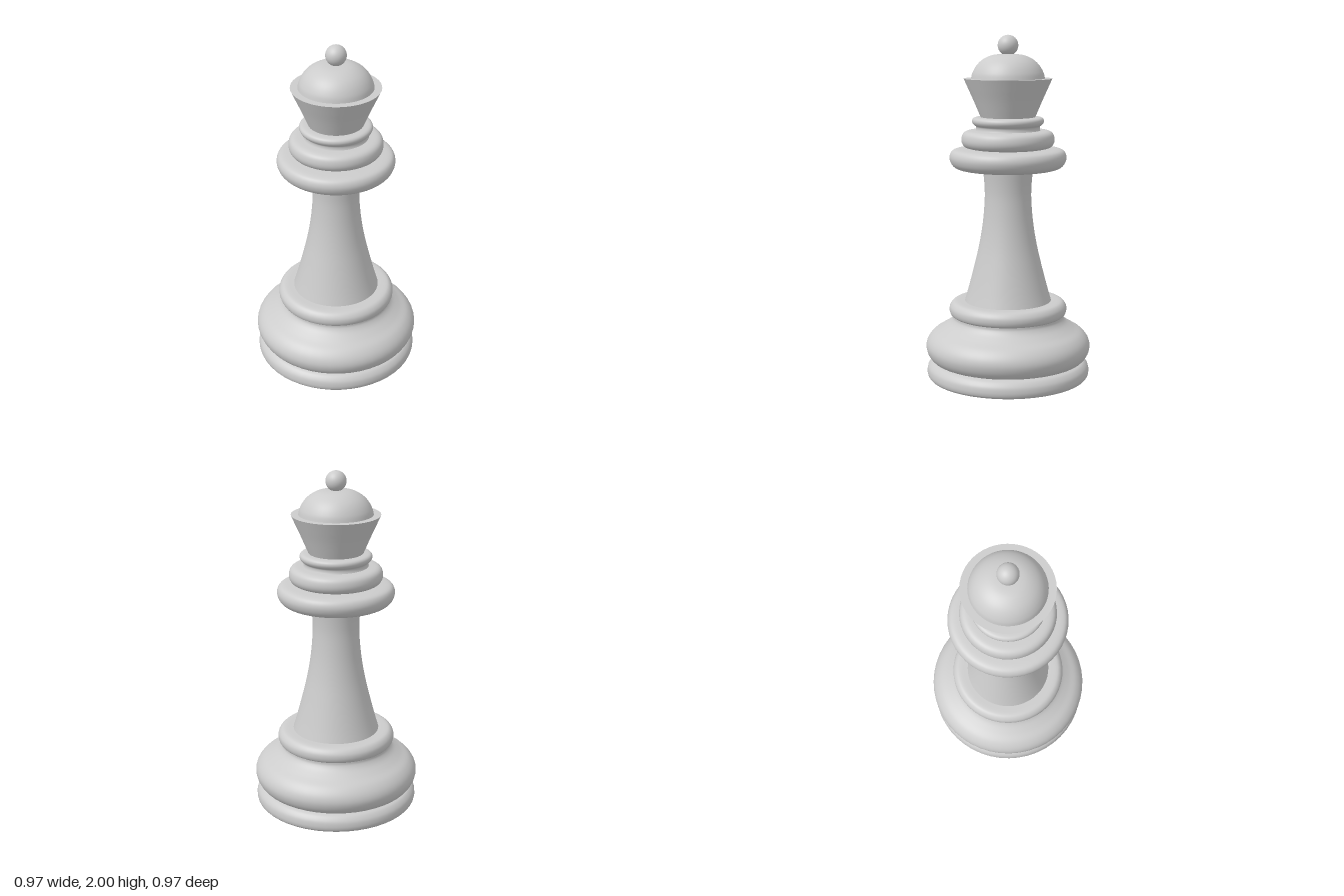
import * as THREE from 'three';

const SEGMENTS = 48;

export function createModel() {
  const group = new THREE.Group();
  const material = new THREE.MeshStandardMaterial({ color: 0xcccccc });

  // Turn a [radius, height] profile, listed bottom to top, into a smooth lathed part
  const turn = (name, profile, steps = 32) => {
    const points = profile.map(([r, y]) => new THREE.Vector2(r, y));
    const smooth = new THREE.SplineCurve(points).getPoints(steps);
    smooth.forEach((p) => { p.x = Math.max(p.x, 0); });
    const mesh = new THREE.Mesh(new THREE.LatheGeometry(smooth, SEGMENTS), material);
    mesh.name = name;
    group.add(mesh);
  };

  // Flat ring or disc that closes a part
  const cap = (name, inner, outer, y, up) => {
    const ends = up ? [outer, inner] : [inner, outer];
    const geometry = new THREE.LatheGeometry(ends.map((r) => new THREE.Vector2(r, y)), SEGMENTS);
    const mesh = new THREE.Mesh(geometry, material);
    mesh.name = name;
    group.add(mesh);
  };

  // Base
  cap('baseUnderside', 0, 0.465, 0, false);
  turn('baseDisc', [[0.465, 0], [0.475, 0.012], [0.479, 0.035], [0.473, 0.065], [0.452, 0.09], [0.425, 0.1]]);
  turn('baseBody', [[0.425, 0.1], [0.452, 0.112], [0.475, 0.145], [0.484, 0.187], [0.472, 0.228],
    [0.44, 0.265], [0.39, 0.295], [0.348, 0.325], [0.328, 0.35], [0.325, 0.368]], 48);
  turn('baseCollar', [[0.325, 0.368], [0.338, 0.378], [0.345, 0.4], [0.342, 0.425],
    [0.325, 0.447], [0.3, 0.455], [0.245, 0.455]]);

  // Stem
  turn('stem', [[0.255, 0.45], [0.232, 0.53], [0.198, 0.66], [0.168, 0.79], [0.147, 0.92],
    [0.136, 1.05], [0.137, 1.14], [0.146, 1.24]], 40);

  // Stacked collars
  turn('largeCollar', [[0.13, 1.223], [0.2, 1.225], [0.285, 1.235], [0.322, 1.257], [0.338, 1.295],
    [0.331, 1.328], [0.307, 1.346], [0.25, 1.352], [0.18, 1.353]], 40);
  turn('middleCollar', [[0.2, 1.35], [0.245, 1.36], [0.264, 1.38], [0.269, 1.407],
    [0.26, 1.437], [0.235, 1.453], [0.185, 1.457]]);
  turn('smallCollar', [[0.19, 1.45], [0.184, 1.465], [0.185, 1.48], [0.199, 1.491], [0.207, 1.507],
    [0.203, 1.523], [0.185, 1.532], [0.14, 1.534]]);

  // Crown cup
  turn('crownCup', [[0.154, 1.525], [0.171, 1.565], [0.2, 1.633], [0.228, 1.695], [0.254, 1.753]]);
  cap('crownRim', 0.2, 0.254, 1.753, true);

  // Dome and finial ball
  turn('dome', [[0.212, 1.753], [0.204, 1.785], [0.184, 1.822], [0.155, 1.853], [0.115, 1.877],
    [0.07, 1.889], [0, 1.893]]);
  const ball = new THREE.Mesh(new THREE.SphereGeometry(0.059, 32, 20), material);
  ball.name = 'finialBall';
  ball.position.y = 1.941;
  group.add(ball);

  return group;
}
